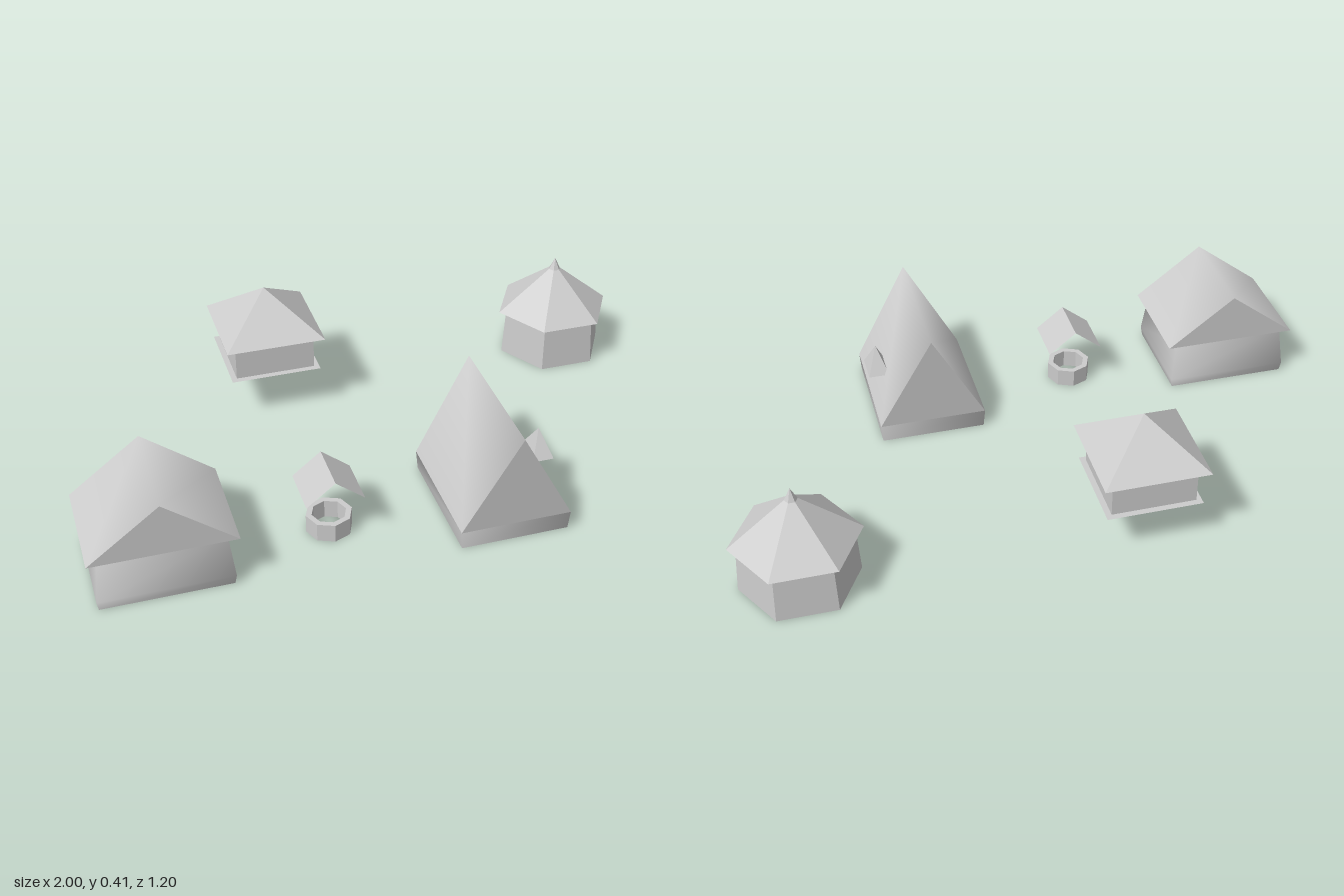
import * as THREE from 'three';

const grey = new THREE.MeshStandardMaterial({ color: 0xcccccc, side: THREE.DoubleSide });
grey.name = 'plain grey';

function part(parent, name, geometry, x = 0, y = 0, z = 0) {
  const mesh = new THREE.Mesh(geometry, grey);
  mesh.name = name;
  mesh.position.set(x, y, z);
  parent.add(mesh);
  return mesh;
}

function group(parent, name, x, z) {
  const g = new THREE.Group();
  g.name = name;
  g.position.set(x, 0, z);
  parent.add(g);
  return g;
}

function surface(points, index) {
  const g = new THREE.BufferGeometry();
  g.setAttribute('position', new THREE.Float32BufferAttribute(points.flat(), 3));
  g.setIndex(index);
  g.computeVertexNormals();
  return g;
}

// open rectangular wall shell; each ring is [half width, y, half depth]
function walls(rings) {
  const points = [], index = [];
  for (const [w, y, d] of rings) points.push([-w, y, d], [w, y, d], [w, y, -d], [-w, y, -d]);
  for (let r = 0; r < rings.length - 1; r++) {
    for (let i = 0; i < 4; i++) {
      const a = r * 4 + i, b = r * 4 + (i + 1) % 4;
      index.push(a, b, b + 4, a, b + 4, a + 4);
    }
  }
  return surface(points, index);
}

// two roof slopes meeting at a ridge that runs along z
function slopes(w, eave, ridge, dEave, dRidge) {
  return surface([
    [-w, eave, dEave], [0, ridge, dRidge], [w, eave, dEave],
    [-w, eave, -dEave], [0, ridge, -dRidge], [w, eave, -dEave],
  ], [0, 1, 4, 0, 4, 3, 1, 2, 5, 1, 5, 4]);
}

function gableRoof(parent, w, eave, ridge, dEave, dRidge) {
  part(parent, 'roofSlopes', slopes(w, eave, ridge, dEave, dRidge));
  for (const s of [1, -1]) {
    part(parent, s > 0 ? 'frontGable' : 'backGable', surface(
      [[-s * w, eave, s * dEave], [s * w, eave, s * dEave], [0, ridge, s * dRidge]], [0, 1, 2]));
  }
}

// faceted turned shape; profile is [radius, y] from bottom to top
function faceted(profile, sides, turn = 0) {
  const pts = profile.map(([r, y]) => new THREE.Vector2(r, y));
  const g = new THREE.LatheGeometry(pts, sides, turn).toNonIndexed();
  g.computeVertexNormals();
  return g;
}

export function createModel() {
  const village = new THREE.Group();
  village.name = 'village';

  // wide cottage with flared walls
  const cottage = group(village, 'cottage', -0.78, 0.363);
  part(cottage, 'cottageWalls', walls([[0.198, 0, 0.164], [0.203, 0.03, 0.168], [0.187, 0.168, 0.152]]));
  gableRoof(cottage, 0.22, 0.167, 0.335, 0.173, 0.173);

  // steep house with leaning gables and a small dormer
  const steep = group(village, 'steepHouse', 0.27, 0.363);
  part(steep, 'lowWalls', walls([[0.17, 0, 0.21], [0.175, 0.062, 0.215]]));
  gableRoof(steep, 0.175, 0.062, 0.38, 0.215, 0.235);
  part(steep, 'dormer', faceted([[0, 0], [Math.SQRT1_2, 0], [0, 1]], 4, Math.PI / 4), 0.146, 0.147, 0.002)
    .scale.set(0.068, 0.088, 0.104);

  // well with an octagonal rim and a floating canopy
  const well = group(village, 'well', -0.253, 0.36);
  part(well, 'wellRim', faceted(
    [[0.054, 0], [0.0725, 0], [0.0725, 0.06], [0.054, 0.06], [0.054, 0]], 8));
  part(well, 'wellCanopy', slopes(0.09, 0.155, 0.227, 0.083, 0.083).toNonIndexed())
    .geometry.computeVertexNormals();

  // raised square hut on a flat platform
  const hut = group(village, 'raisedHut', -0.253, -0.425);
  part(hut, 'hutWalls', new THREE.BoxGeometry(0.265, 0.115, 0.265), 0, 0.2125, 0);
  part(hut, 'hutPlatform', new THREE.PlaneGeometry(0.3, 0.3).rotateX(-Math.PI / 2), 0, 0.153, 0);
  part(hut, 'hutRoof', faceted(
    [[0, 0.272], [0.165 * Math.SQRT2, 0.272], [0, 0.407]], 4, Math.PI / 4));

  // six-sided pavilion with a pointed cap
  const pavilion = group(village, 'pavilion', 0.795, -0.427);
  part(pavilion, 'pavilionWalls', faceted([[0, 0], [0.184, 0], [0.174, 0.162]], 6, Math.PI / 2));
  part(pavilion, 'pavilionRoof', faceted(
    [[0, 0.161], [0.2, 0.161], [0.02, 0.308], [0, 0.348]], 6, Math.PI / 2));

  return village;
}
